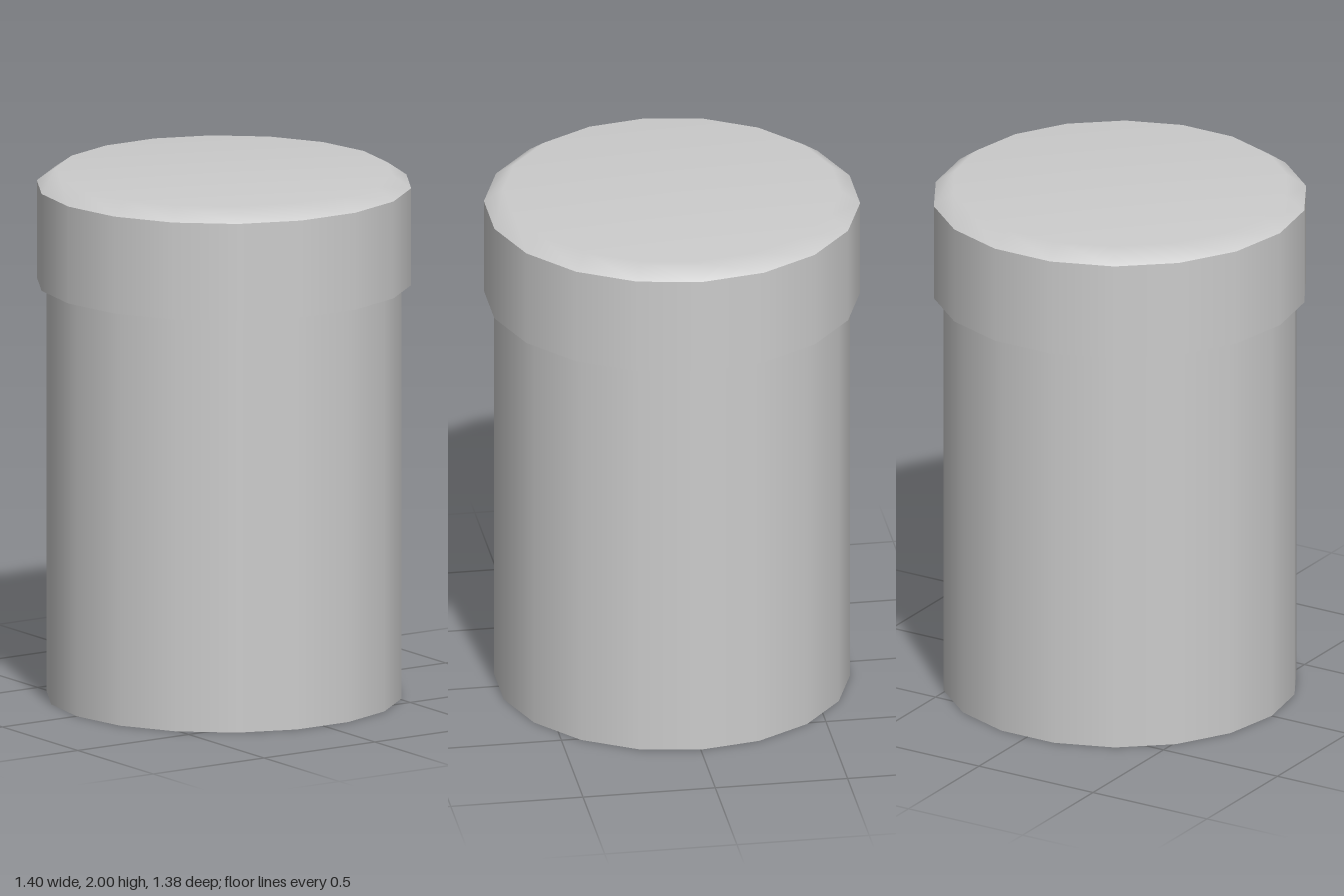
import * as THREE from 'three';

const SIDES = 18;

// Revolves a bottom-to-top profile; each call is one smooth band, so edges between bands stay sharp.
function band(name, profile, material) {
  const points = profile.map(([r, y]) => new THREE.Vector2(r, y));
  const mesh = new THREE.Mesh(new THREE.LatheGeometry(points, SIDES, Math.PI / 2), material);
  mesh.name = name;
  return mesh;
}

export function createModel() {
  const grey = new THREE.MeshStandardMaterial({ color: 0xcccccc });
  grey.name = 'light grey';

  // Jar body: flat base and straight wall
  const body = new THREE.Group();
  body.name = 'body';
  body.add(
    band('base', [[0, 0], [0.665, 0]], grey),
    band('wall', [[0.665, 0], [0.665, 1.58]], grey)
  );

  // Lid: overhanging lip, rim and softly shaded bevelled top
  const lid = new THREE.Group();
  lid.name = 'lid';
  lid.add(
    band('lip', [[0, 1.58], [0.702, 1.58]], grey),
    band('rim', [[0.702, 1.58], [0.702, 1.95]], grey),
    band('top', [[0.702, 1.95], [0.63, 2], [0, 2]], grey)
  );

  const model = new THREE.Group();
  model.name = 'jar';
  model.add(body, lid);
  return model;
}
